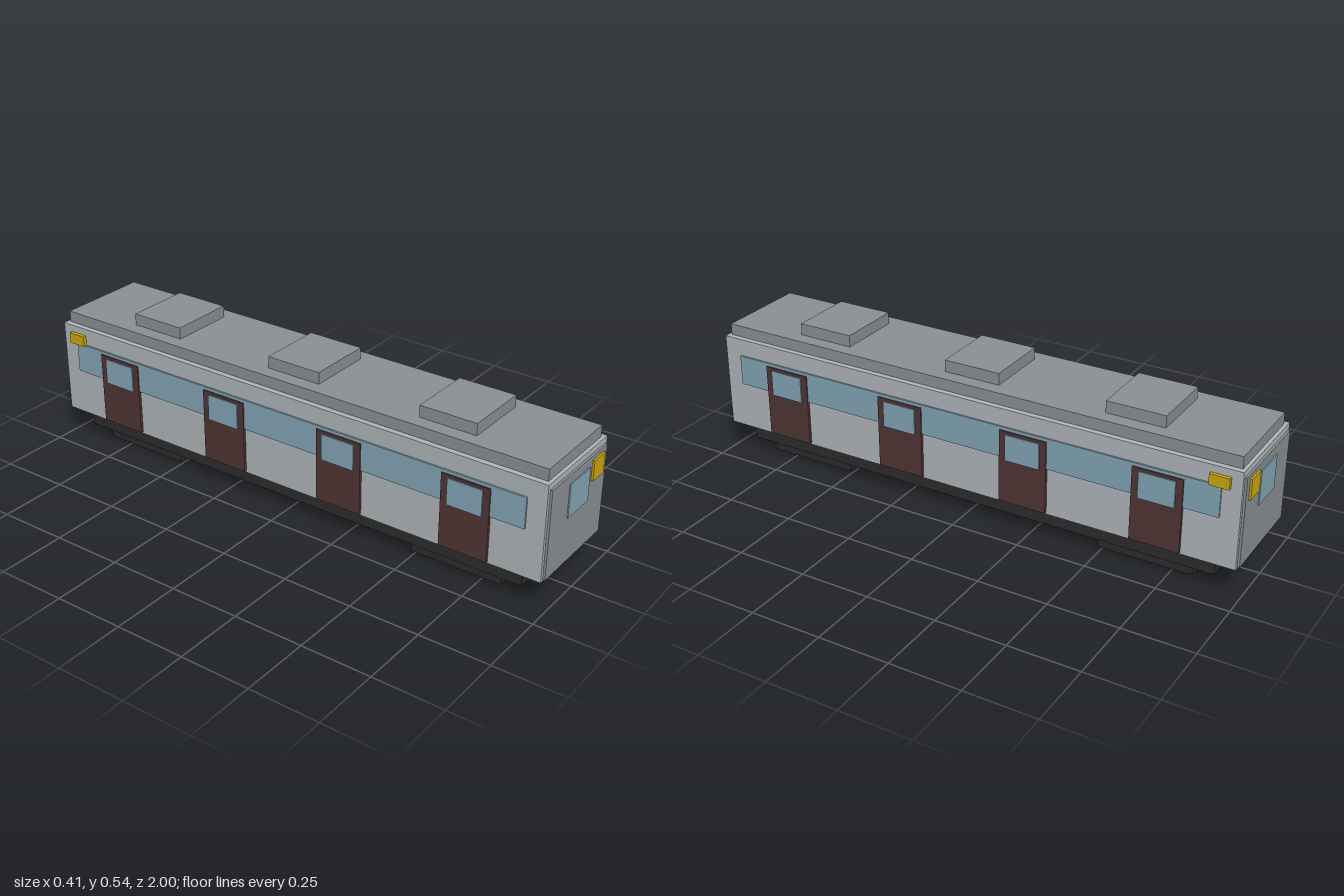
import * as THREE from 'three';

const mat = (name, color) => {
  const m = new THREE.MeshStandardMaterial({ color });
  m.name = name;
  return m;
};

export function createModel() {
  const silver = mat('silver body', 0xb0b6ba);
  const grey = mat('roof grey', 0x8b9094);
  const glass = mat('window glass', 0x83a5b6);
  const maroon = mat('door maroon', 0x503535);
  const yellow = mat('sign yellow', 0xcca70f);
  const black = mat('underframe black', 0x2c2c2c);
  const wheelBlack = mat('wheel black', 0x1c1c1c);

  const model = new THREE.Group();
  model.name = 'railCar';

  // Box given by its limits on each axis
  const box = (name, material, [x0, x1], [y0, y1], [z0, z1]) => {
    const mesh = new THREE.Mesh(new THREE.BoxGeometry(x1 - x0, y1 - y0, z1 - z0), material);
    mesh.position.set((x0 + x1) / 2, (y0 + y1) / 2, (z0 + z1) / 2);
    mesh.name = name;
    model.add(mesh);
    return mesh;
  };
  const around = (c, size) => [c - size / 2, c + size / 2];
  // Range from a surface outwards on the given side (+1 or -1)
  const outward = (side, a, b) => (side > 0 ? [a, b] : [-b, -a]);

  // Body shell, roof and underframe
  box('body', silver, [-0.19, 0.19], [0.11, 0.452], [-0.985, 0.985]);
  box('roof', grey, [-0.17, 0.17], [0.452, 0.493], [-0.973, 0.973]);
  box('underframe', black, [-0.158, 0.158], [0.05, 0.11], [-0.906, 0.906]);

  // Roof ventilation units
  for (const z of [-0.594, 0, 0.594]) {
    box('roofUnit', grey, [-0.119, 0.119], [0.493, 0.535], around(z, 0.207));
  }

  // Bogies with wheels
  const wheelGeometry = new THREE.CylinderGeometry(0.045, 0.045, 0.015, 16);
  for (const z of [-0.66, 0.66]) {
    box('bogie', black, [-0.144, 0.144], [0.015, 0.05], around(z, 0.335));
    for (const dz of [-0.107, 0.107]) {
      for (const x of [-0.099, 0.099]) {
        const wheel = new THREE.Mesh(wheelGeometry, wheelBlack);
        wheel.rotation.z = Math.PI / 2;
        wheel.position.set(x, 0.045, z + dz);
        wheel.name = 'wheel';
        model.add(wheel);
      }
    }
  }

  // Side windows, doors and destination signs
  for (const side of [-1, 1]) {
    box('windowBand', glass, outward(side, 0.19, 0.196), [0.28, 0.39], [-0.92, 0.92]);
    for (const z of [-0.713, -0.238, 0.238, 0.713]) {
      box('door', maroon, outward(side, 0.19, 0.2), [0.117, 0.379], around(z, 0.174));
      box('doorWindow', glass, outward(side, 0.2, 0.204), [0.274, 0.368], around(z, 0.125));
    }
    box('sideSign', yellow, outward(side, 0.19, 0.203), [0.387, 0.426], [-0.948, -0.88]);
  }

  // End panels, each with a window and a route sign
  for (const end of [-1, 1]) {
    box('endPanel', grey, [-0.178, 0.178], [0.116, 0.431], outward(end, 0.985, 0.993));
    box('endWindow', glass, [-0.065, 0.065], [0.281, 0.4], outward(end, 0.993, 0.997));
    box('endSign', yellow, [0.082, 0.154], [0.343, 0.415], outward(end, 0.993, 1));
  }

  return model;
}
